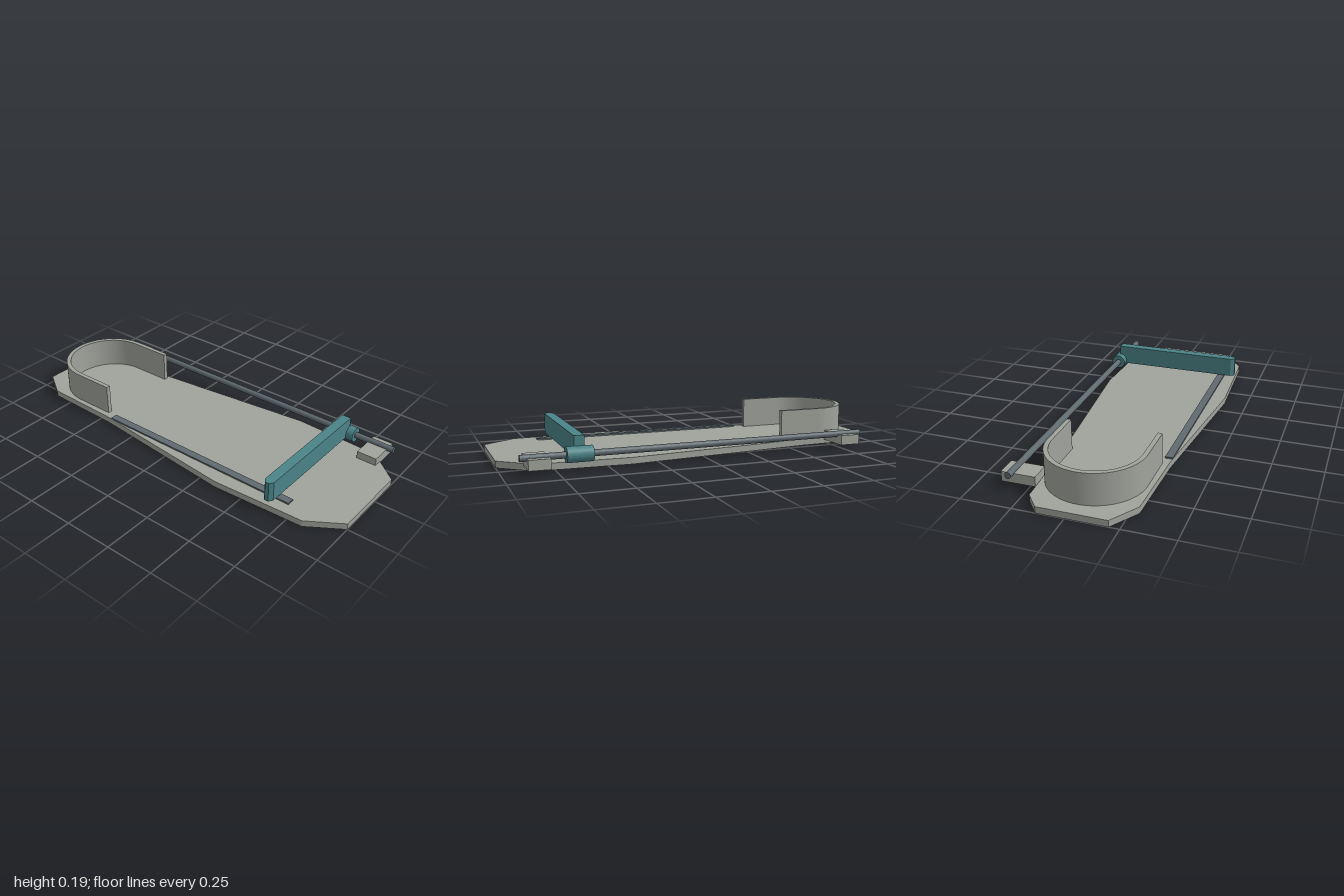
import * as THREE from 'three';

const material = (color) => new THREE.MeshStandardMaterial({ color, flatShading: true });

export function createModel() {
  const model = new THREE.Group();
  const stone = material(0xa0a39c);
  const teal = material(0x4b8488);
  const steel = material(0x5f6a6f);

  const add = (name, geometry, mat) => {
    const mesh = new THREE.Mesh(geometry, mat);
    mesh.name = name;
    model.add(mesh);
    return mesh;
  };

  // Box given by its extents on each axis
  const addBox = (name, mat, [x0, x1], [y0, y1], [z0, z1]) =>
    add(name, new THREE.BoxGeometry(x1 - x0, y1 - y0, z1 - z0), mat)
      .position.set((x0 + x1) / 2, (y0 + y1) / 2, (z0 + z1) / 2);

  // Plan drawn in (x, -z), raised from y0 to y1
  const addPlan = (name, mat, shape, y0, y1) => {
    const geometry = new THREE.ExtrudeGeometry(shape, {
      depth: y1 - y0, bevelEnabled: false, curveSegments: 32,
    });
    geometry.rotateX(-Math.PI / 2).translate(0, y0, 0);
    add(name, geometry, mat);
  };
  const polygon = (points) => new THREE.Shape(points.map(([x, z]) => new THREE.Vector2(x, -z)));

  // Cylinder lying along z
  const addRod = (name, mat, radius, z0, z1, sides) => {
    const geometry = new THREE.CylinderGeometry(radius, radius, z1 - z0, sides);
    geometry.rotateX(Math.PI / 2).translate(0.33, 0.073, (z0 + z1) / 2);
    add(name, geometry, mat);
  };

  // Foot-shaped base plate
  addPlan('basePlate', stone, polygon([
    [-0.25, 1], [0.16, 1], [0.295, 0.84], [0.315, 0.38], [0.215, -0.6], [0.2, -0.92],
    [0.135, -1], [-0.2, -1], [-0.29, -0.86], [-0.302, -0.44], [-0.382, 0.35], [-0.36, 0.83],
  ]), 0, 0.033);

  // U-shaped heel cup, open toward the front
  const cx = -0.03, backZ = -0.686, endZ = -0.47, outer = 0.24, inner = 0.217;
  const cup = new THREE.Shape();
  cup.moveTo(cx + outer, -endZ);
  cup.lineTo(cx + outer, -backZ);
  cup.absarc(cx, -backZ, outer, 0, Math.PI, false);
  cup.lineTo(cx - outer, -endZ);
  cup.lineTo(cx - inner, -endZ);
  cup.lineTo(cx - inner, -backZ);
  cup.absarc(cx, -backZ, inner, Math.PI, 0, true);
  cup.lineTo(cx + inner, -endZ);
  cup.closePath();
  addPlan('heelCup', stone, cup, 0.033, 0.192);

  // Measuring strip along the plate
  addBox('scaleStrip', steel, [-0.306, -0.267], [0.033, 0.041], [-0.415, 0.72]);

  // Side rail and its two brackets
  addBox('rearBracket', stone, [0.21, 0.379], [0.022, 0.072], [-0.836, -0.73]);
  addBox('frontBracket', stone, [0.21, 0.379], [0.022, 0.072], [0.78, 0.885]);
  addRod('rail', steel, 0.016, -0.865, 0.917, 24);

  // Sliding collar and toe bar with a chamfered free end
  addRod('slideCollar', teal, 0.038, 0.577, 0.704, 32);
  addPlan('toeBar', teal, polygon([
    [0.33, 0.665], [0.33, 0.615], [-0.35, 0.615], [-0.37, 0.63], [-0.37, 0.65], [-0.35, 0.665],
  ]), 0.057, 0.16);

  return model;
}
